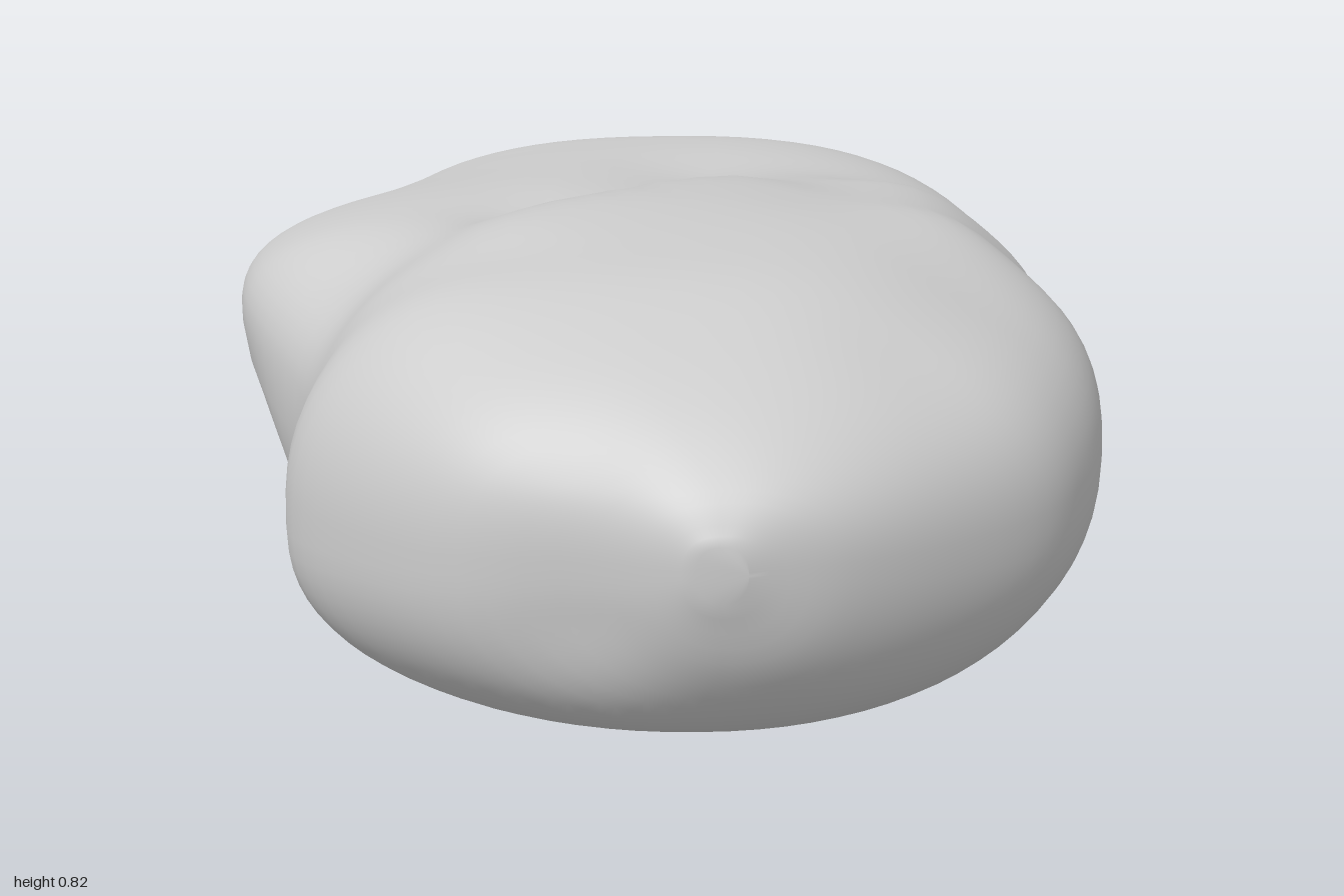
import * as THREE from 'three';

// Cross-sections from back to front:
// [z, right edge, left edge, bottom, top, height of right edge, height of left edge]
const STATIONS = [
  [-1.00, -0.09, 0.03, 0.46, 0.54, 0.50, 0.50],
  [-0.97, -0.20, 0.18, 0.36, 0.59, 0.50, 0.48],
  [-0.88, -0.39, 0.42, 0.215, 0.645, 0.50, 0.46],
  [-0.76, -0.46, 0.52, 0.155, 0.69, 0.50, 0.45],
  [-0.60, -0.50, 0.62, 0.11, 0.745, 0.50, 0.44],
  [-0.45, -0.54, 0.66, 0.08, 0.76, 0.52, 0.45],
  [-0.30, -0.60, 0.665, 0.055, 0.765, 0.55, 0.46],
  [-0.16, -0.68, 0.68, 0.015, 0.77, 0.57, 0.47],
  [0.00, -0.685, 0.67, 0.00, 0.785, 0.57, 0.47],
  [0.12, -0.65, 0.655, 0.01, 0.80, 0.54, 0.48],
  [0.28, -0.56, 0.685, 0.025, 0.81, 0.47, 0.48],
  [0.44, -0.54, 0.67, 0.065, 0.805, 0.42, 0.46],
  [0.60, -0.55, 0.62, 0.11, 0.785, 0.41, 0.45],
  [0.74, -0.45, 0.54, 0.15, 0.735, 0.42, 0.45],
  [0.87, -0.29, 0.39, 0.22, 0.67, 0.44, 0.46],
  [0.96, -0.08, 0.24, 0.33, 0.595, 0.47, 0.48],
  [1.00, 0.03, 0.10, 0.45, 0.53, 0.49, 0.49],
];

// Soft furrows (negative) and ridges (positive) along a line:
// [x, y, z, to x, to y, to z, radius, amount]
const FOLDS = [
  // diagonal valley and crest on top
  [-0.52, 0.72, 0.24, -0.20, 0.78, 0.05, 0.13, -0.03],
  [-0.20, 0.78, 0.05, 0.05, 0.77, -0.20, 0.12, -0.015],
  [-0.20, 0.81, 0.32, 0.12, 0.80, 0.02, 0.14, 0.022],
  // shoulders and cross groove
  [0.44, 0.73, 0.15, 0.44, 0.72, -0.12, 0.13, 0.03],
  [0.52, 0.68, -0.34, 0.10, 0.76, -0.30, 0.12, -0.015],
  [0.45, 0.72, 0.50, 0.35, 0.70, 0.68, 0.14, -0.015],
  [-0.38, 0.70, 0.45, -0.34, 0.70, 0.55, 0.14, 0.015],
  // left side
  [0.65, 0.25, 0.10, 0.65, 0.40, 0.08, 0.13, -0.025],
  [0.58, 0.20, -0.37, 0.56, 0.22, -0.40, 0.15, -0.03],
  // right side under the overhang
  [-0.66, 0.36, 0.02, -0.66, 0.36, -0.12, 0.14, -0.035],
  // underside, leaving a keel along the middle
  [0.24, 0.02, -0.08, 0.24, 0.04, 0.25, 0.13, -0.025],
  [-0.22, 0.02, -0.12, -0.22, 0.04, 0.20, 0.13, -0.025],
  [0.46, 0.10, 0.00, 0.08, 0.07, -0.45, 0.09, -0.02],
  [-0.45, 0.10, -0.10, -0.48, 0.12, 0.05, 0.12, 0.02],
  // notches at the ends
  [-0.12, 0.40, 0.90, -0.12, 0.58, 0.87, 0.11, -0.025],
  [0.05, 0.60, -0.97, 0.05, 0.65, -0.90, 0.12, -0.012],
].map(([a, b, c, d, e, f, radius, amount]) => ({
  line: new THREE.Line3(new THREE.Vector3(a, b, c), new THREE.Vector3(d, e, f)), radius, amount,
}));

// Squareness of a section's corner: lower is boxier
function cornerPower(right, up) {
  if (up) return right ? 0.77 : 0.85;
  return right ? 0.88 : 0.92;
}

function stoneGeometry(rings = 80, sides = 80) {
  const curve = (a, b, c) => new THREE.CatmullRomCurve3(
    STATIONS.map((s) => new THREE.Vector3(s[a], s[b], s[c])), false, 'catmullrom', 0.5);
  const plan = curve(0, 1, 2);
  const heights = curve(3, 4, 5);
  const leftEdge = curve(6, 6, 6);
  const power = (v, e) => Math.sign(v) * Math.abs(v) ** e;
  const positions = [];
  const index = [];

  for (let i = 0; i <= rings; i++) {
    const t = i / rings;
    const p = plan.getPoint(t);
    const h = heights.getPoint(t);
    const yLeft = leftEdge.getPoint(t).x;
    for (let j = 0; j < sides; j++) {
      const angle = (j / sides) * Math.PI * 2;
      const up = Math.sin(angle) > 0;
      const e = cornerPower(Math.cos(angle) < 0, up);
      const u = power(Math.cos(angle), e);
      const v = power(Math.sin(angle), e);
      const middle = THREE.MathUtils.lerp(h.z, yLeft, (u + 1) / 2);
      positions.push(
        (p.y + p.z) / 2 + u * (p.z - p.y) / 2,
        middle + Math.abs(v) * ((up ? h.y : h.x) - middle),
        p.x);
      if (i < rings) {
        const a = i * sides + j;
        const b = i * sides + (j + 1) % sides;
        index.push(a, b, a + sides, b, b + sides, a + sides);
      }
    }
    // Close both ends
    if (i === 0 || i === rings) {
      const first = i * sides;
      for (let j = 1; j < sides - 1; j++) {
        if (i === 0) index.push(first, first + j + 1, first + j);
        else index.push(first, first + j, first + j + 1);
      }
    }
  }

  const geometry = new THREE.BufferGeometry();
  geometry.setAttribute('position', new THREE.Float32BufferAttribute(positions, 3));
  geometry.setIndex(index);
  geometry.computeVertexNormals();

  // Push the surface along its normals to weather it
  const pos = geometry.attributes.position;
  const normal = geometry.attributes.normal;
  const point = new THREE.Vector3();
  const nearest = new THREE.Vector3();
  const n = new THREE.Vector3();
  for (let i = 0; i < pos.count; i++) {
    point.fromBufferAttribute(pos, i);
    n.fromBufferAttribute(normal, i);
    let push = 0;
    for (const { line, radius, amount } of FOLDS) {
      line.closestPointToPoint(point, true, nearest);
      push += amount * Math.exp(-nearest.distanceToSquared(point) / (radius * radius));
    }
    point.addScaledVector(n, push);
    pos.setXYZ(i, point.x, Math.max(0, point.y), point.z);
  }
  geometry.computeVertexNormals();
  return geometry;
}

export function createModel() {
  const group = new THREE.Group();
  group.name = 'rock';
  const stone = new THREE.Mesh(
    stoneGeometry(), new THREE.MeshStandardMaterial({ color: 0xcccccc }));
  stone.name = 'boulder';
  group.add(stone);
  return group;
}
